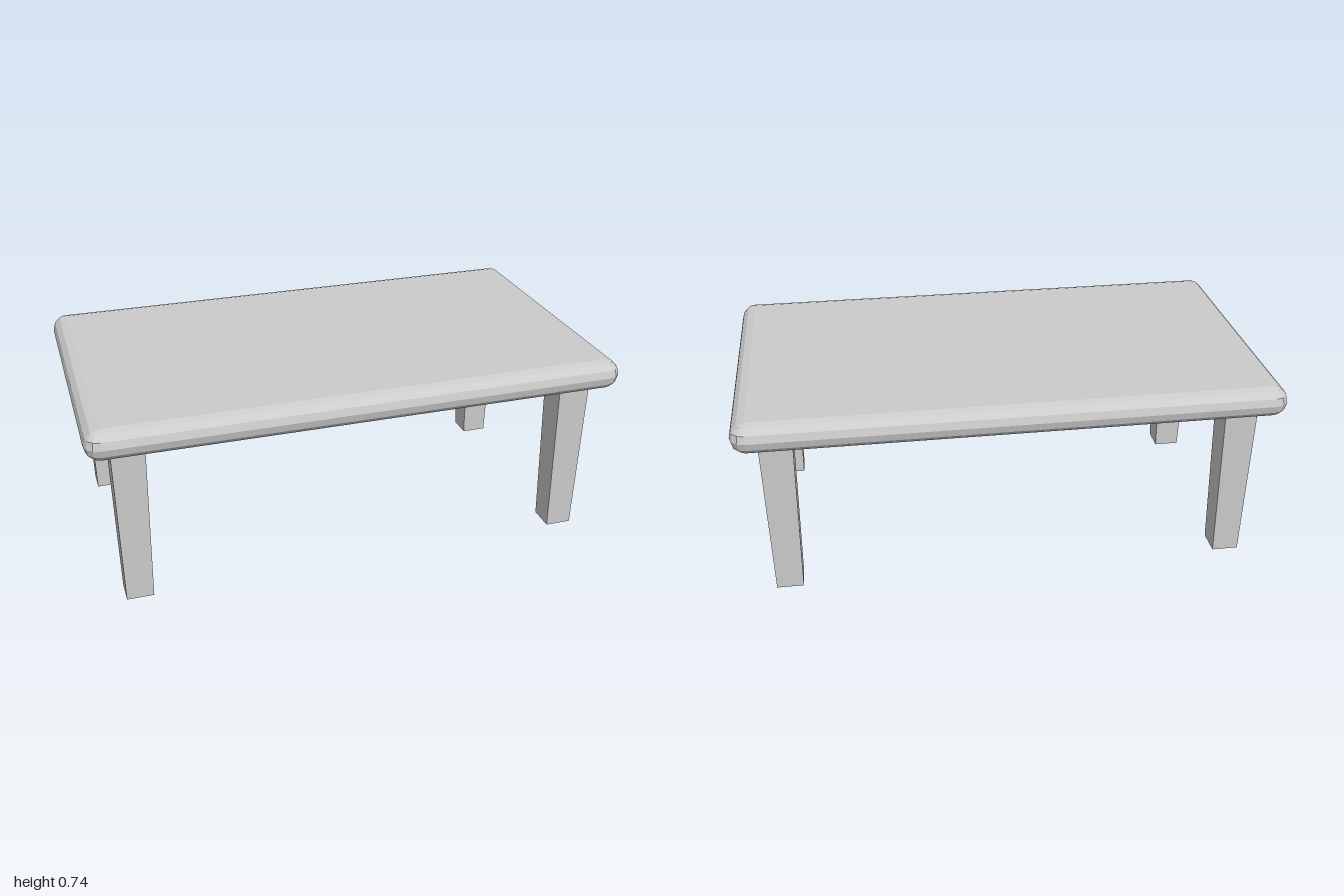
import * as THREE from 'three';
import { ConvexGeometry } from 'three/addons/geometries/ConvexGeometry.js';

const TOP = 0.737, THICK = 0.112, HALF_X = 1, HALF_Z = 0.57;
const LEG_X = 0.85, LEG_Z = 0.42, LEG_HEIGHT = TOP - THICK;

// Slab with fully rounded, faceted rim: the hull of a low-poly sphere at each corner
function slabGeometry() {
  const r = THICK / 2;
  const points = [];
  for (const sx of [-1, 1]) for (const sz of [-1, 1]) {
    for (let i = 0; i <= 6; i++) {
      const a = -Math.PI / 2 + (i * Math.PI) / 6;
      for (let j = 0; j <= 3; j++) {
        const b = (j * Math.PI) / 6;
        points.push(new THREE.Vector3(
          sx * (HALF_X - r + r * Math.cos(a) * Math.cos(b)),
          r * Math.sin(a),
          sz * (HALF_Z - r + r * Math.cos(a) * Math.sin(b))
        ));
        if (i === 0 || i === 6) break; // one point per pole
      }
    }
  }
  return new ConvexGeometry(points);
}

// Square leg, narrowing towards the floor
function legGeometry(topWidth, bottomWidth) {
  const g = new THREE.CylinderGeometry(topWidth * Math.SQRT1_2, bottomWidth * Math.SQRT1_2, LEG_HEIGHT, 4);
  return g.rotateY(Math.PI / 4).translate(0, LEG_HEIGHT / 2, 0);
}

export function createModel() {
  const model = new THREE.Group();
  model.name = 'table';
  const material = new THREE.MeshStandardMaterial({ color: 0xcccccc, flatShading: true });

  const tabletop = new THREE.Mesh(slabGeometry(), material);
  tabletop.name = 'tabletop';
  tabletop.position.y = TOP - THICK / 2;
  model.add(tabletop);

  // Four legs, mirrored across both axes
  const legGeo = legGeometry(0.122, 0.1);
  for (const sx of [-1, 1]) for (const sz of [-1, 1]) {
    const leg = new THREE.Mesh(legGeo, material);
    leg.name = (sz > 0 ? 'front' : 'back') + (sx > 0 ? 'Left' : 'Right') + 'Leg';
    leg.position.set(sx * LEG_X, 0, sz * LEG_Z);
    model.add(leg);
  }
  return model;
}
